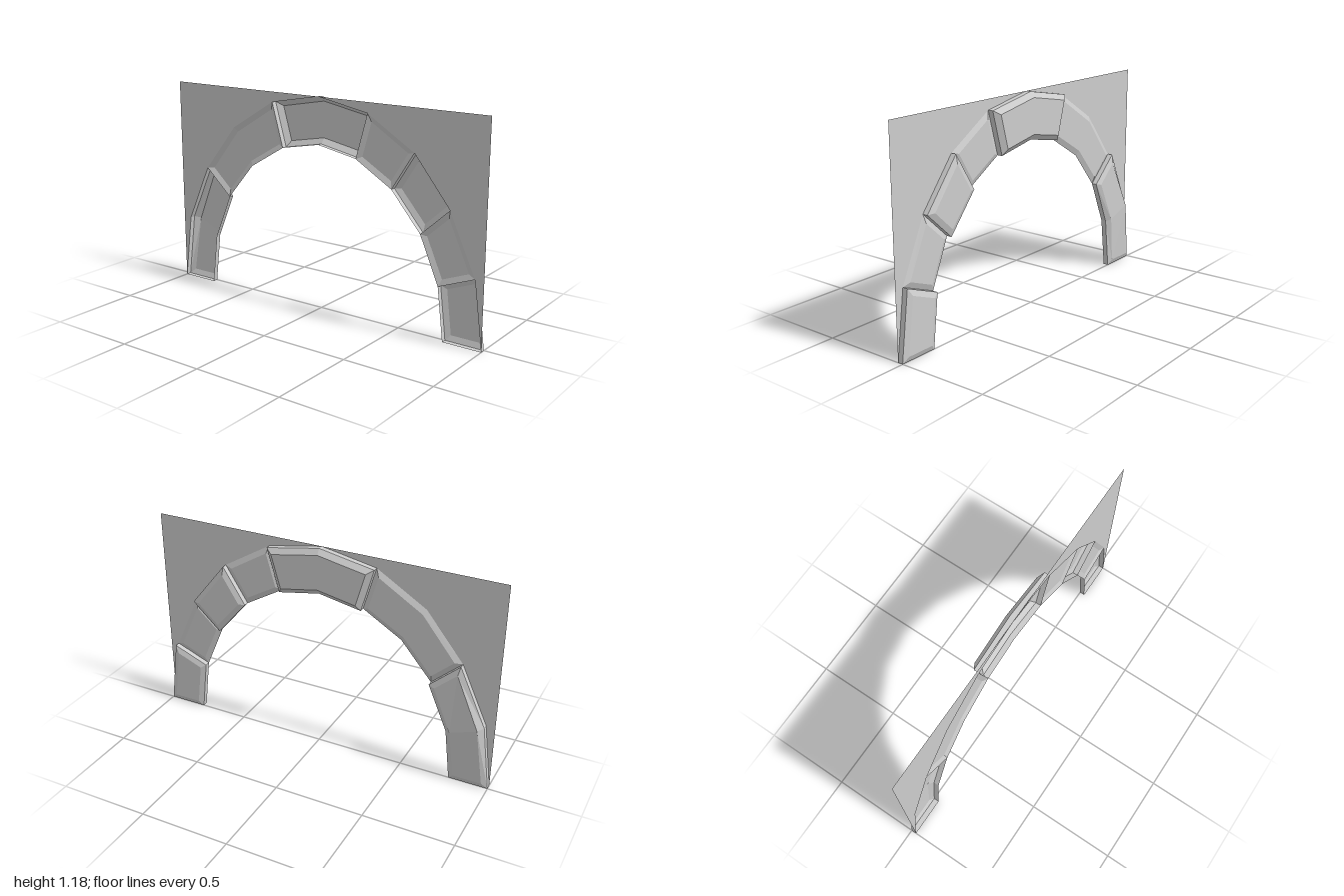
import * as THREE from 'three';

const BACK = -0.03;   // plane of the wall
const INSET = 0.03;   // bevel width

// Arch stations as [z, y], from the +z foot over the crown to the -z foot
const mirror = (half) => [...half, ...half.slice(0, -1).reverse().map(([z, y]) => [-z, y])];
const outer = mirror([[1, 0], [0.95, 0.37], [0.8, 0.695], [0.59, 0.955], [0.31, 1.125], [0, 1.182]]);
const inner = mirror([[0.78, 0], [0.745, 0.29], [0.635, 0.545], [0.46, 0.75], [0.24, 0.88], [0, 0.925]]);

const step = (p, q, d) => {
  const l = Math.hypot(q[0] - p[0], q[1] - p[1]);
  return [p[0] + (q[0] - p[0]) / l * d, p[1] + (q[1] - p[1]) / l * d];
};

// Hollow bevelled stone from station a to b: rim = top of its upright sides,
// heights = x of the face as [outer, inner] per station
function stone(name, a, b, rim, heights, material) {
  const ids = Array.from({ length: b - a + 1 }, (_, k) => a + k);
  const ring = (o, i) => [...o, ...i.slice().reverse()];
  const O = ids.map((k) => outer[k]), I = ids.map((k) => inner[k]);
  const n = O.length;

  // Pull the two end stations inwards, then inset across the band
  const pull = (row) => row.map((p, k) => (
    k === 0 ? step(p, row[1], INSET) : k === n - 1 ? step(p, row[n - 2], INSET) : p));
  const po = pull(O), pi = pull(I);
  const fo = po.map((p, k) => step(p, pi[k], INSET));
  const fi = pi.map((p, k) => step(p, po[k], INSET));

  const at = (x) => ([z, y]) => [x, y, z];
  const base = ring(O, I).map(at(BACK));
  const edge = ring(O, I).map(at(rim));
  const faceO = fo.map(([z, y], k) => [heights[k][0], y, z]);
  const faceI = fi.map(([z, y], k) => [heights[k][1], y, z]);
  const face = ring(faceO, faceI);

  const pos = [];
  const quad = (p, q, r, s) => pos.push(...p, ...q, ...r, ...p, ...r, ...s);
  const band = (low, high) => low.forEach((_, k) => {
    const m = (k + 1) % low.length;
    quad(high[k], high[m], low[m], low[k]);
  });
  if (rim > BACK) band(base, edge);
  band(edge, face);
  for (let k = 0; k < n - 1; k++) quad(faceO[k], faceI[k], faceI[k + 1], faceO[k + 1]);

  const g = new THREE.BufferGeometry();
  g.setAttribute('position', new THREE.Float32BufferAttribute(pos, 3));
  g.computeVertexNormals();
  const mesh = new THREE.Mesh(g, material);
  mesh.name = name;
  return mesh;
}

export function createModel() {
  const group = new THREE.Group();
  group.name = 'stoneArch';
  const stoneGrey = new THREE.MeshStandardMaterial({ color: 0xcccccc, side: THREE.DoubleSide });
  stoneGrey.name = 'stoneGrey';

  // Flat wall corners above both sides of the arch
  for (const [name, side, pts] of [
    ['wallFront', -1, outer.slice(0, 6)],
    ['wallBack', 1, outer.slice(5)],
  ]) {
    const shape = new THREE.Shape([...pts.map(([z, y]) => new THREE.Vector2(-z, y)),
      new THREE.Vector2(side, 1.182)]);
    const wall = new THREE.Mesh(new THREE.ShapeGeometry(shape).rotateY(Math.PI / 2), stoneGrey);
    wall.position.x = BACK;
    wall.name = name;
    group.add(wall);
  }

  // Raised stones
  const flat = (x, n) => Array.from({ length: n }, () => [x, x]);
  group.add(stone('frontFootStone', 0, 1, 0, flat(0.012, 2), stoneGrey));
  group.add(stone('frontUpperStone', 2, 3, 0, flat(0.012, 2), stoneGrey));
  group.add(stone('keystone', 4, 6, 0, flat(0.023, 3), stoneGrey));
  group.add(stone('backFootStone', 8, 10, 0, [[0.013, 0.013], [0.029, 0.022], [0.013, 0.013]], stoneGrey));

  // Shallow stones between them
  group.add(stone('frontShallowStone', 1, 2, BACK, flat(-0.018, 2), stoneGrey));
  group.add(stone('upperShallowStone', 3, 4, BACK, flat(-0.018, 2), stoneGrey));
  group.add(stone('backShallowStone', 6, 8, BACK, flat(-0.016, 3), stoneGrey));
  return group;
}
